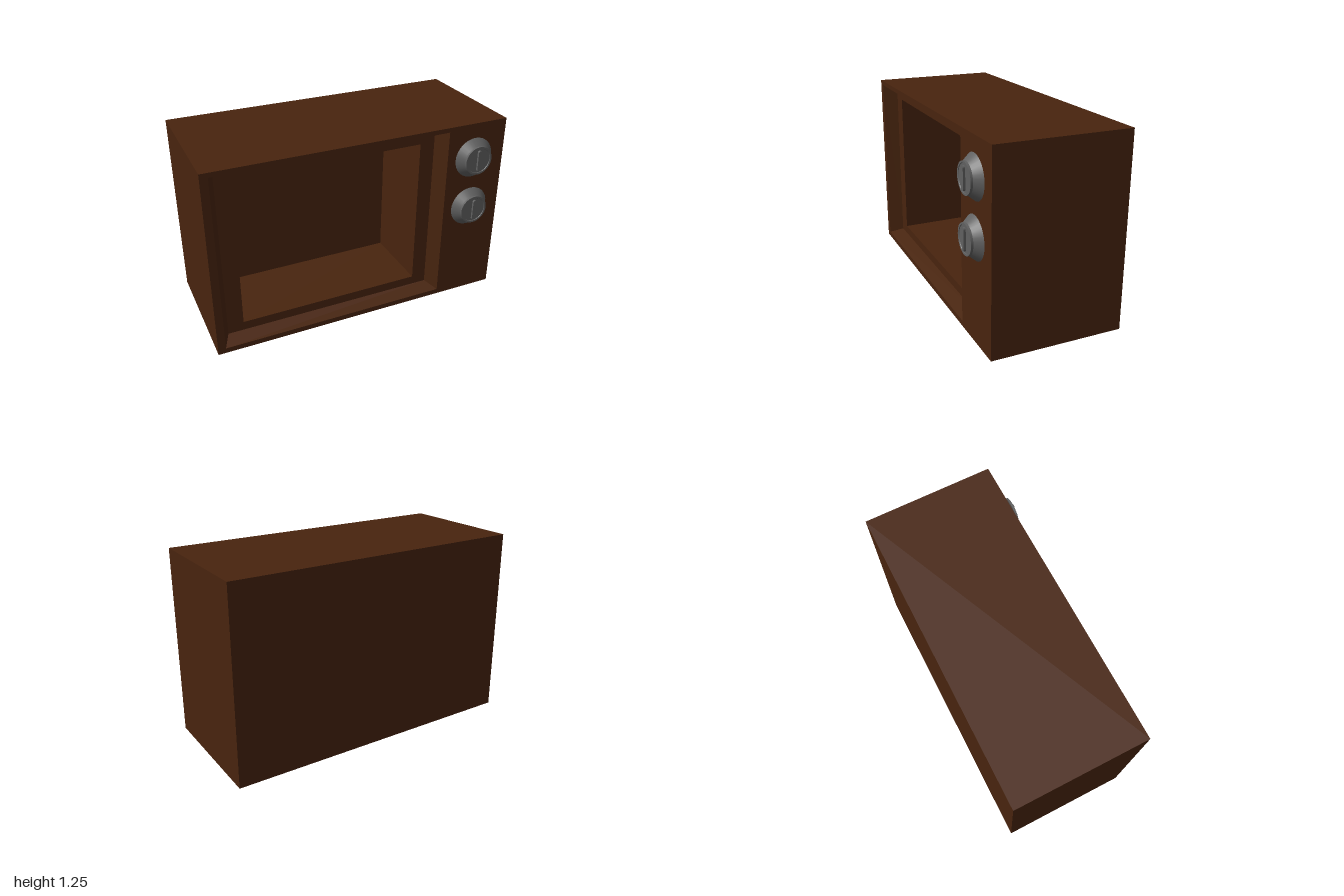
import * as THREE from 'three';

const wood = new THREE.MeshStandardMaterial({ name: 'dark brown wood', color: 0x48240e });
const metal = new THREE.MeshStandardMaterial({ name: 'dark grey', color: 0x606060 });

// Skins a chain of rectangles [x0, x1, y0, y1, z] with flat faces and closes both ends.
function rectLoft(rects) {
  const loops = rects.map(([x0, x1, y0, y1, z]) => [[x0, y0, z], [x1, y0, z], [x1, y1, z], [x0, y1, z]]);
  const pos = [];
  const quad = (a, b, c, d) => pos.push(...a, ...b, ...c, ...a, ...c, ...d);
  const first = loops[0], last = loops[loops.length - 1];
  quad(first[3], first[2], first[1], first[0]);
  for (let k = 0; k < loops.length - 1; k++) {
    for (let i = 0; i < 4; i++) {
      const j = (i + 1) % 4;
      quad(loops[k][i], loops[k][j], loops[k + 1][j], loops[k + 1][i]);
    }
  }
  quad(...last);
  const geo = new THREE.BufferGeometry();
  geo.setAttribute('position', new THREE.Float32BufferAttribute(pos, 3));
  geo.computeVertexNormals();
  return geo;
}

function part(name, geo, mat) {
  const mesh = new THREE.Mesh(geo, mat);
  mesh.name = name;
  return mesh;
}

// Dial facing +z with its base at z = 0.
function makeKnob(name) {
  const knob = new THREE.Group();
  knob.name = name;

  const skirt = new THREE.CylinderGeometry(0.095, 0.136, 0.049, 32, 1, true);
  skirt.rotateX(Math.PI / 2).translate(0, 0, 0.0245);
  knob.add(part('knobSkirt', skirt, metal));

  // Raised rim around a slightly sunken face
  const profile = [[0.096, 0.047], [0.096, 0.062], [0.084, 0.062], [0.082, 0.058], [0, 0.058]];
  for (let i = 0; i < profile.length - 1; i++) {
    const pts = [profile[i], profile[i + 1]].map(([r, z]) => new THREE.Vector2(r, z));
    const ring = new THREE.LatheGeometry(pts, 32).rotateX(Math.PI / 2);
    knob.add(part('knobCap', ring, metal));
  }

  // Round-ended pointer bar
  const w = 0.013, h = 0.059;
  const outline = new THREE.Shape();
  outline.absarc(0, h, w, 0, Math.PI);
  outline.absarc(0, -h, w, Math.PI, Math.PI * 2);
  const bar = new THREE.ExtrudeGeometry(outline, { depth: 0.016, bevelEnabled: false, curveSegments: 6 });
  knob.add(part('knobPointer', bar.translate(0, 0, 0.056), metal));
  return knob;
}

export function createModel() {
  const model = new THREE.Group();
  model.name = 'television';

  // Cabinet: back, front edge, sloped bezel, screen surround, hollow interior
  const cabinet = rectLoft([
    [-1, 1, 0, 1.255, -0.465],
    [-1, 1, 0, 1.255, 0.393],
    [-0.95, 0.58, 0.035, 1.225, 0.393],
    [-0.905, 0.53, 0.065, 1.195, 0.298],
    [-0.8, 0.43, 0.125, 1.135, 0.298],
    [-0.8, 0.43, 0.125, 1.135, -0.19],
  ]);
  model.add(part('cabinet', cabinet, wood));

  for (const [name, y] of [['upperKnob', 1.02], ['lowerKnob', 0.665]]) {
    const knob = makeKnob(name);
    knob.position.set(0.775, y, 0.393);
    model.add(knob);
  }
  return model;
}
